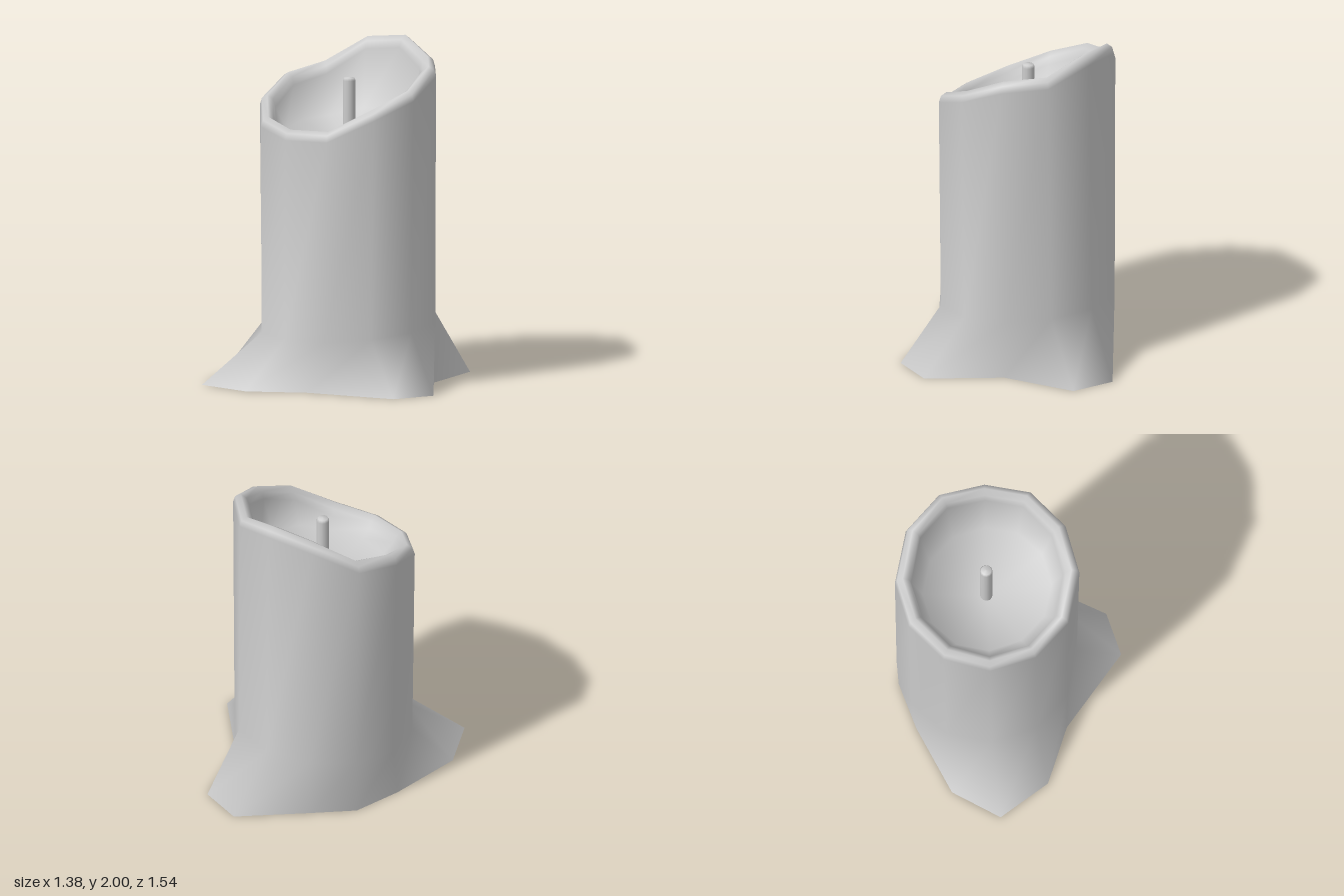
import * as THREE from 'three';

const SIDES = 12, CX = -0.11, CZ = -0.01;

// Rim height at each side, from the back, going round by the left (+x)
const rim = [2.0, 1.91, 1.89, 1.78, 1.68, 1.55, 1.54, 1.58, 1.67, 1.77, 1.82, 1.97];

// Outline of the melted foot on the ground, same order
const foot = [
  [-0.05, -0.77], [0.21, -0.70], [0.35, -0.27], [0.69, 0.06], [0.62, 0.32], [0.10, 0.52],
  [-0.19, 0.75], [-0.54, 0.77], [-0.69, 0.48], [-0.64, 0.03], [-0.57, -0.26], [-0.38, -0.45],
];

// One ring of the candle; height is a function of side index and angle
function ring(rx, rz, height, cz = CZ) {
  return rim.map((h, i) => {
    const t = (i / SIDES) * Math.PI * 2;
    return [CX + rx * Math.sin(t), height(h, t), cz - rz * Math.cos(t)];
  });
}

function buildGeometry(points, faces) {
  const geometry = new THREE.BufferGeometry();
  geometry.setAttribute('position', new THREE.Float32BufferAttribute(points.flat(), 3));
  geometry.setIndex(faces);
  geometry.computeVertexNormals();
  return geometry;
}

export function createModel() {
  const group = new THREE.Group();
  const material = new THREE.MeshStandardMaterial({ color: 0xcccccc });
  const add = (name, geometry) => {
    const mesh = new THREE.Mesh(geometry, material);
    mesh.name = name;
    group.add(mesh);
    return mesh;
  };

  // Wax body: foot, wall, rounded rim, then the hollow down to its floor
  const rings = [
    foot.map(([x, z]) => [x, 0, z]),
    ring(0.535, 0.525, (h, t) => 0.335 + 0.045 * Math.cos(t), -0.015),
    ring(0.558, 0.512, (h) => h - 0.06),
    ring(0.545, 0.5, (h) => h - 0.02),
    ring(0.51, 0.47, (h) => h),
    ring(0.475, 0.435, (h) => h - 0.025),
    ring(0.46, 0.42, (h) => h - 0.07),
    ring(0.39, 0.36, (h) => 1.43 + 0.3 * (h - 1.54)),
  ];
  const faces = [];
  const at = (j, i) => j * SIDES + (i % SIDES);
  const last = rings.length - 1;
  for (let i = 0; i < SIDES; i++) {
    for (let j = 0; j < last; j++) {
      const a = at(j, i), b = at(j, i + 1), c = at(j + 1, i + 1), d = at(j + 1, i);
      faces.push(b, a, d, b, d, c);
    }
    faces.push(at(last, i + 1), at(last, i), rings.length * SIDES);
  }
  add('waxBody', buildGeometry([...rings.flat(), [CX, 1.37, CZ]], faces));

  // Flat underside
  const under = [];
  for (let i = 0; i < SIDES; i++) under.push(i, (i + 1) % SIDES, SIDES);
  add('underside', buildGeometry([...rings[0], [CX, 0, CZ]], under));

  // Wick with a softly shaded tip
  const profile = [[0.038, 0], [0.038, 0.53], [0.03, 0.546], [0, 0.55]];
  const wick = add('wick', new THREE.LatheGeometry(profile.map(([x, y]) => new THREE.Vector2(x, y)), 12));
  wick.position.set(CX, 1.25, -0.02);

  return group;
}
